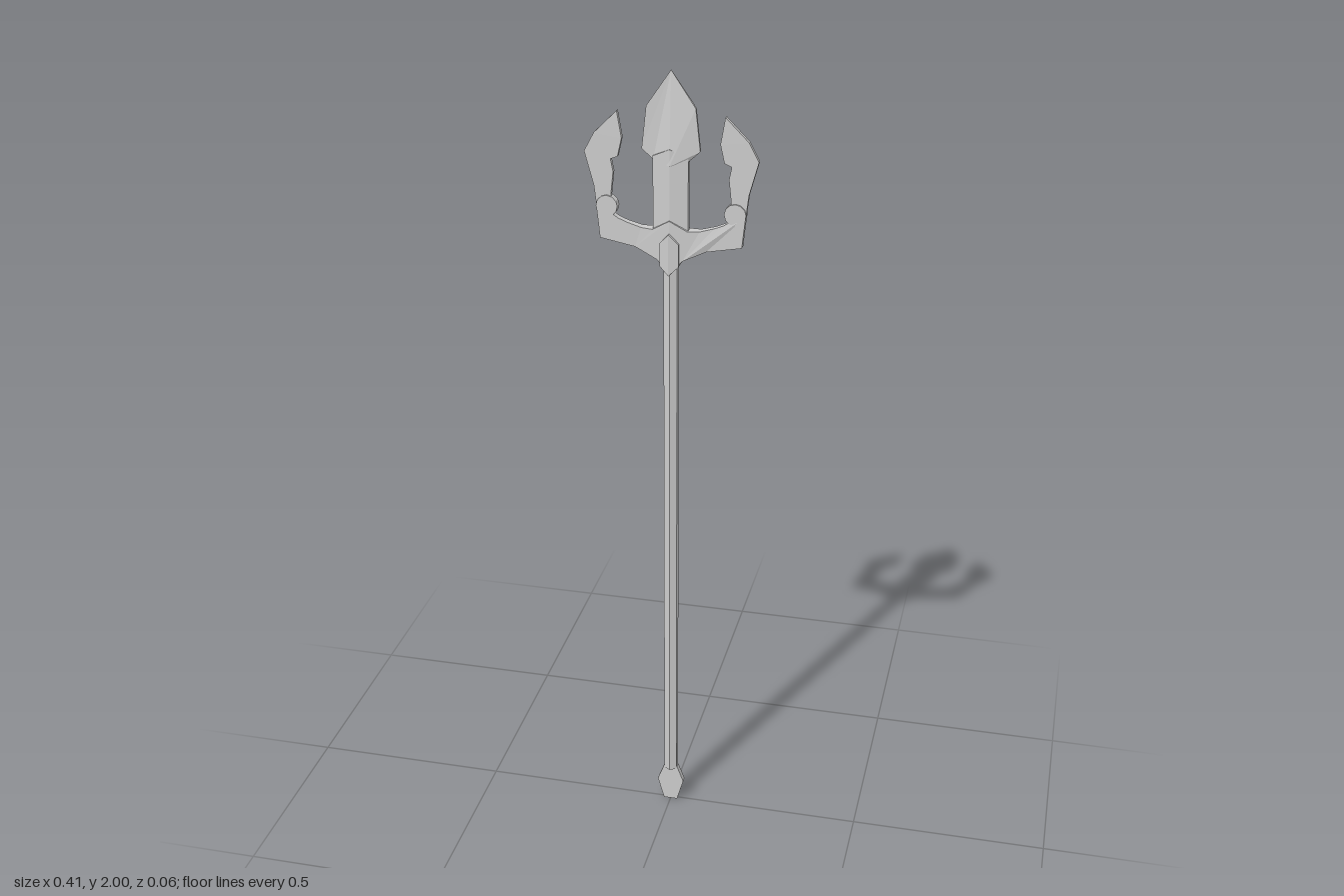
import * as THREE from 'three';

const material = new THREE.MeshStandardMaterial({ color: 0xcccccc, flatShading: true });

// Flat outline thickened to +-thickness(x, y); side = -1 mirrors it in x
function plate(name, outline, thickness, side = 1) {
  const shape = new THREE.Shape(outline.map(([x, y]) => new THREE.Vector2(x * side, y)));
  let geometry = new THREE.ExtrudeGeometry(shape, { depth: 1, bevelEnabled: false });
  const p = geometry.attributes.position;
  for (let i = 0; i < p.count; i++) {
    const t = thickness(Math.abs(p.getX(i)), p.getY(i));
    p.setZ(i, p.getZ(i) > 0.5 ? t : -t);
  }
  geometry.computeVertexNormals();
  const mesh = new THREE.Mesh(geometry, material);
  mesh.name = name;
  return mesh;
}

const lerp = THREE.MathUtils.lerp;
const clamp01 = (v) => THREE.MathUtils.clamp(v, 0, 1);

export function createModel() {
  const group = new THREE.Group();
  group.name = 'trident';

  // Six-sided pole
  const pole = new THREE.Mesh(new THREE.CylinderGeometry(0.019, 0.019, 1.46, 6), material);
  pole.name = 'pole';
  pole.position.y = 0.1 + 0.73;
  group.add(pole);

  // Flat pommel
  group.add(plate('pommel',
    [[-0.018, 0], [0.018, 0], [0.035, 0.06], [0.018, 0.105], [-0.018, 0.105], [-0.035, 0.06]],
    () => 0.008));

  for (const side of [1, -1]) {
    const label = side > 0 ? 'left' : 'right';

    // Central spearhead, ridged along the middle
    group.add(plate(label + 'SpearheadHalf',
      [[0, 1.78], [0.042, 1.79], [0.069, 1.815], [0.058, 1.915], [0, 2]],
      (x, y) => y > 1.99 ? 0.001 : x < 0.01 ? 0.019 : 0.004, side));

    // Stem below the spearhead
    group.add(plate(label + 'StemHalf',
      [[0, 1.56], [0.042, 1.6], [0.042, 1.8], [0, 1.82]],
      (x) => x < 0.01 ? 0.018 : 0.008, side));

    // Curved arm, thick at the middle and thin at the end
    group.add(plate(label + 'Arm',
      [[0, 1.515], [0.03, 1.552], [0.085, 1.577], [0.17, 1.593], [0.178, 1.67], [0.155, 1.665],
        [0.127, 1.645], [0.105, 1.636], [0.07, 1.626], [0.042, 1.625], [0, 1.65]],
      (x) => lerp(0.022, 0.009, clamp01(x / 0.08)), side));

    // Outer prong with hooked blade
    group.add(plate(label + 'Prong',
      [[0.175, 1.645], [0.184, 1.72], [0.206, 1.8], [0.182, 1.845], [0.127, 1.9], [0.116, 1.836],
        [0.126, 1.792], [0.143, 1.785], [0.137, 1.755], [0.143, 1.7], [0.14, 1.66]],
      () => 0.006, side));

    // Round boss at the root of the prong
    const boss = new THREE.Mesh(new THREE.CylinderGeometry(0.026, 0.026, 0.02, 12), material);
    boss.name = label + 'Boss';
    boss.rotation.x = Math.PI / 2;
    boss.position.set(0.153 * side, 1.672, 0);
    group.add(boss);

    // Ridged collar where the arms meet the pole
    group.add(plate(label + 'CollarHalf',
      [[0, 1.518], [0.023, 1.54], [0.023, 1.595], [0, 1.62]],
      (x) => x < 0.01 ? 0.031 : 0.025, side));
  }
  return group;
}
